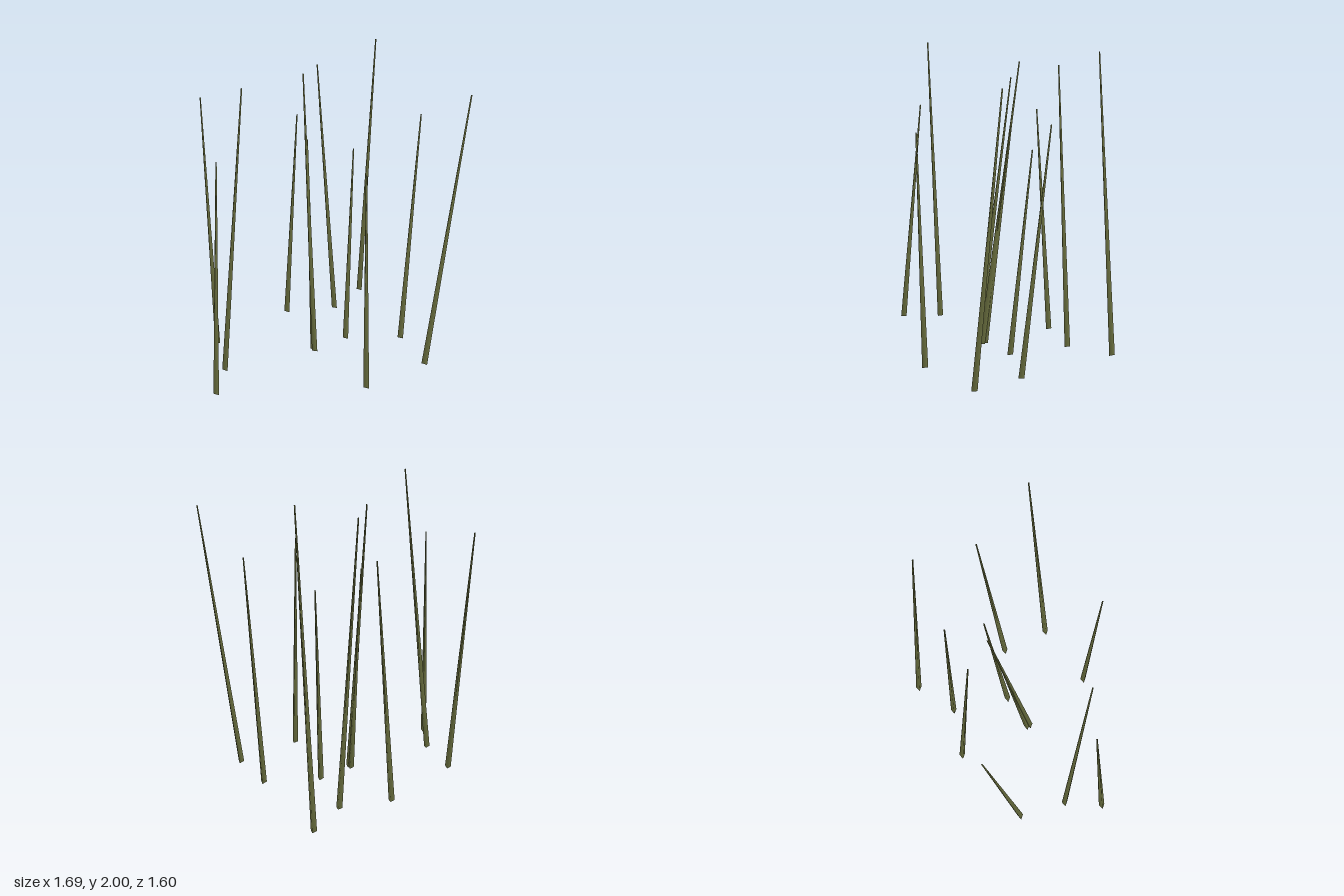
import * as THREE from 'three';

// Each stalk: base x, base z, tip x, tip y, tip z
const STALKS = [
  [-0.715, 0.26, -0.845, 1.72, 0.075],
  [-0.52, 0.53, -0.315, 2.0, 0.53],
  [-0.45, 0.788, -0.45, 1.56, 0.63],
  [-0.433, -0.29, -0.3, 1.58, -0.215],
  [-0.13, -0.47, -0.22, 1.88, -0.37],
  [-0.05, 0.102, -0.21, 1.9, -0.115],
  [-0.068, 0.085, -0.168, 1.48, -0.072],
  [-0.05, -0.78, 0.075, 2.0, -0.665],
  [0.09, -0.123, 0.078, 1.38, -0.26],
  [0.693, -0.03, 0.84, 1.86, -0.235],
  [0.42, 0.363, 0.403, 1.52, 0.397],
  [0.445, -0.27, 0.47, 1.61, -0.445],
];

export function createModel() {
  const group = new THREE.Group();
  group.name = 'reedClump';
  const olive = new THREE.MeshStandardMaterial({ color: 0x6b7040 });
  olive.name = 'oliveGreen';
  const up = new THREE.Vector3(0, 1, 0);

  // Slim three-sided tapering stalks, each leaning from its base to its tip
  STALKS.forEach(([bx, bz, tx, ty, tz], i) => {
    const base = new THREE.Vector3(bx, 0.002, bz);
    const tip = new THREE.Vector3(tx, ty, tz);
    const axis = tip.clone().sub(base);
    const geometry = new THREE.CylinderGeometry(0.005, 0.023, axis.length(), 3, 1, false, Math.PI);
    const stalk = new THREE.Mesh(geometry, olive);
    stalk.name = `stalk${i + 1}`;
    stalk.position.copy(base).add(tip).multiplyScalar(0.5);
    stalk.quaternion.setFromUnitVectors(up, axis.normalize());
    group.add(stalk);
  });
  return group;
}
